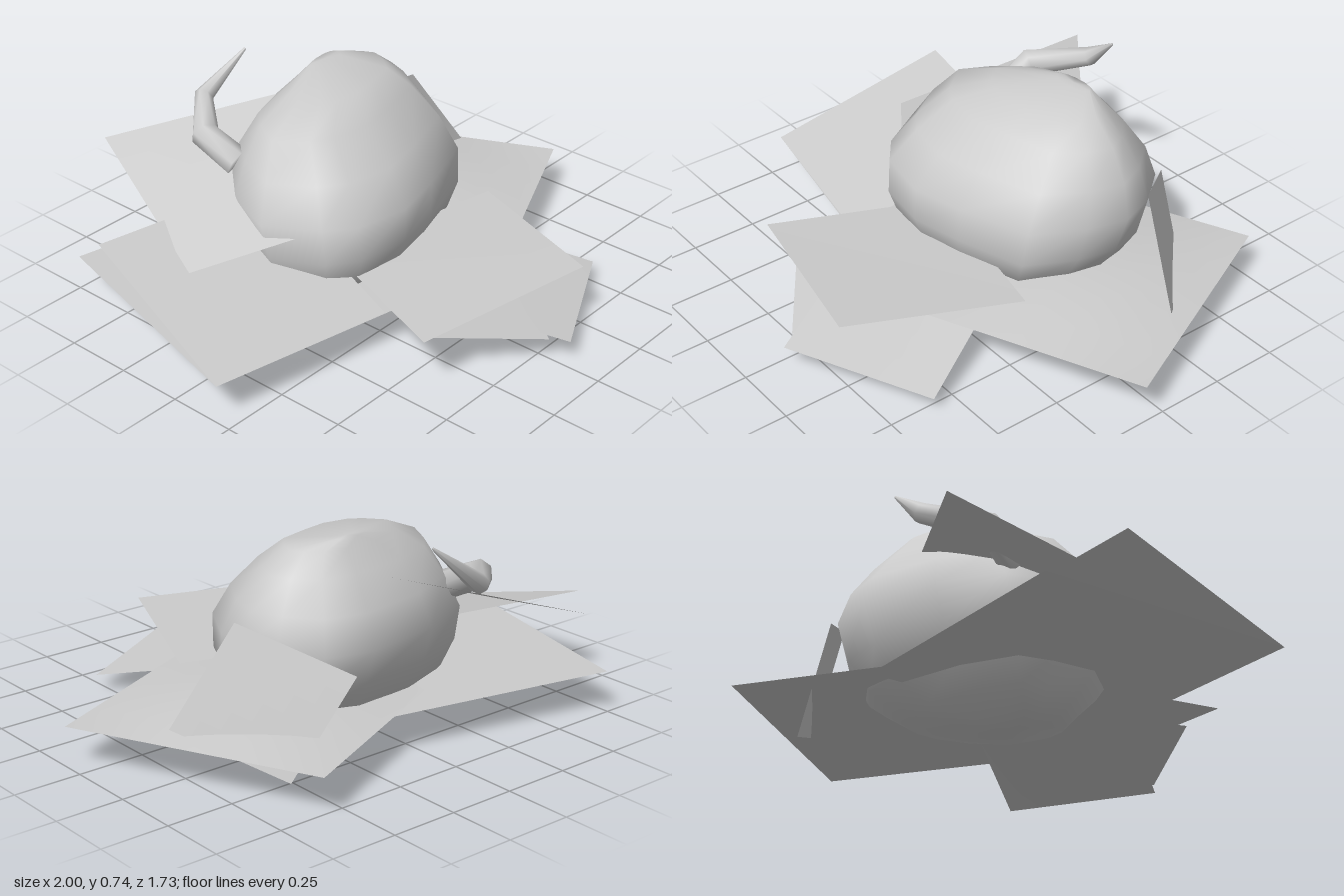
import * as THREE from 'three';

const grey = () => new THREE.MeshStandardMaterial({ color: 0xcccccc });

// Closed smooth skin over equal-sized rings, with a pole at each end
function loft(rings) {
  const n = rings[0].length, pos = [], idx = [];
  rings.forEach(r => r.forEach(p => pos.push(p.x, p.y, p.z)));
  for (let i = 0; i < rings.length - 1; i++)
    for (let j = 0; j < n; j++) {
      const a = i * n + j, b = i * n + (j + 1) % n, c = a + n, d = b + n;
      idx.push(a, c, b, b, c, d);
    }
  const cap = (ring, start, top) => {
    const m = ring.reduce((s, p) => s.add(p), new THREE.Vector3()).divideScalar(n);
    const k = pos.length / 3;
    pos.push(m.x, m.y, m.z);
    for (let j = 0; j < n; j++) {
      const a = start + j, b = start + (j + 1) % n;
      top ? idx.push(a, k, b) : idx.push(b, k, a);
    }
  };
  cap(rings[0], 0, false);
  cap(rings[rings.length - 1], (rings.length - 1) * n, true);
  const g = new THREE.BufferGeometry();
  g.setAttribute('position', new THREE.Float32BufferAttribute(pos, 3));
  g.setIndex(idx);
  g.computeVertexNormals();
  return g;
}

// Skewed plan outline shared by every level of the body; the lower levels are fuller at the corners
function bodyGeometry() {
  // x, z, fullness
  const plan = [[-.49, -.08, 0], [-.41, -.28, .04], [-.32, -.41, .1], [-.1, -.51, .05], [.2, -.56, 0],
    [.37, -.51, .02], [.47, -.38, .05], [.52, -.25, 0], [.48, -.1, .02], [.38, .08, .04], [.12, .17, .02],
    [-.08, .22, 0], [-.28, .18, .04], [-.38, .1, .05]];
  // y, xMin, xMax, zMin, zMax, share of fullness
  const levels = [
    [0.005, -.27, .04, -.24, .02, 1], [.08, -.36, .30, -.34, .09, 1], [.17, -.43, .43, -.44, .18, 1],
    [.28, -.475, .495, -.51, .22, .7], [.41, -.49, .52, -.56, .22, .2], [.53, -.42, .48, -.52, .13, 0],
    [.64, -.33, .41, -.44, .0, 0], [.71, -.16, .32, -.38, -.1, 0], [.74, .04, .2, -.36, -.3, 0]];
  return loft(levels.map(([y, x0, x1, z0, z1, share]) => plan.map(([x, z, full]) => {
    const s = 1 + full * share;
    return new THREE.Vector3(
      THREE.MathUtils.mapLinear(x * s, -.49, .52, x0, x1), y,
      THREE.MathUtils.mapLinear((z + .17) * s, -.39, .39, z0, z1));
  })));
}

// Tapered, kinked stalk
function stemGeometry() {
  const path = [[-.31, .48, -.36, .055], [-.33, .55, -.50, .052], [-.17, .59, -.665, .036], [0, .735, -.615, .005]];
  const pts = path.map(p => new THREE.Vector3(p[0], p[1], p[2]));
  const up = new THREE.Vector3(0, 1, 0), sides = 7;
  return loft(pts.map((p, i) => {
    const t = pts[Math.min(i + 1, 3)].clone().sub(pts[Math.max(i - 1, 0)]).normalize();
    const u = new THREE.Vector3().crossVectors(t, up).normalize();
    const v = new THREE.Vector3().crossVectors(u, t);
    return Array.from({ length: sides }, (_, j) => {
      const a = j / sides * Math.PI * 2, r = path[i][3];
      return p.clone().addScaledVector(u, Math.cos(a) * r).addScaledVector(v, Math.sin(a) * r);
    });
  }));
}

// Four-cornered leaf patch with straight edges; rise lifts its middle
function leafGeometry(corners, rise) {
  const [a, b, c, d] = corners.map(p => new THREE.Vector3(...p));
  const g = new THREE.PlaneGeometry(1, 1, 6, 6), pos = g.attributes.position;
  for (let i = 0; i < pos.count; i++) {
    const u = pos.getX(i) + .5, v = pos.getY(i) + .5;
    const p = a.clone().lerp(b, v).lerp(d.clone().lerp(c, v), u);
    p.y += rise * Math.sin(Math.PI * u) * Math.sin(Math.PI * v);
    pos.setXYZ(i, p.x, p.y, p.z);
  }
  g.computeVertexNormals();
  return g;
}

export function createModel() {
  const model = new THREE.Group();
  const add = (name, geometry, material = grey()) => {
    const mesh = new THREE.Mesh(geometry, material);
    mesh.name = name;
    model.add(mesh);
  };

  add('gourdBody', bodyGeometry());
  add('stem', stemGeometry());

  // Leaves scattered around and beneath the body
  const leaves = {
    leftGroundLeaf: [[[.6, .15, -.78], [1, .15, .08], [.13, .15, .47], [-.26, .15, -.39]], .05],
    rightGroundLeaf: [[[-.76, .15, -.73], [.17, .15, -.54], [-.05, .15, .39], [-1, .15, .2]], 0],
    rightRaisedLeaf: [[[-1, .15, .2], [-.88, .36, -.47], [-.2, .36, -.34], [-.32, .15, .33]], 0],
    backRightLeaf: [[[-.48, .47, -.87], [.03, .6, -.45], [-.25, .42, .15], [-.73, .29, -.19]], 0],
    frontUpperLeaf: [[[-.45, .22, .61], [.23, .25, .76], [.47, .22, .16], [-.21, .2, 0]], 0],
    frontLowerLeaf: [[[.03, .085, .86], [.535, .06, .6], [.25, .2, .04], [-.25, .2, .3]], 0],
    frontSmallLeaf: [[[-.01, .09, .8], [-.35, .16, .55], [-.11, .18, .25], [.21, .11, .5]], 0],
    leftUprightLeaf: [[[.57, .52, -.29], [.79, .18, -.22], [.53, .02, -.53], [.31, .36, -.6]], 0],
  };
  for (const [name, [corners, rise]] of Object.entries(leaves)) {
    const material = grey();
    material.side = THREE.DoubleSide;
    add(name, leafGeometry(corners, rise), material);
  }
  return model;
}
